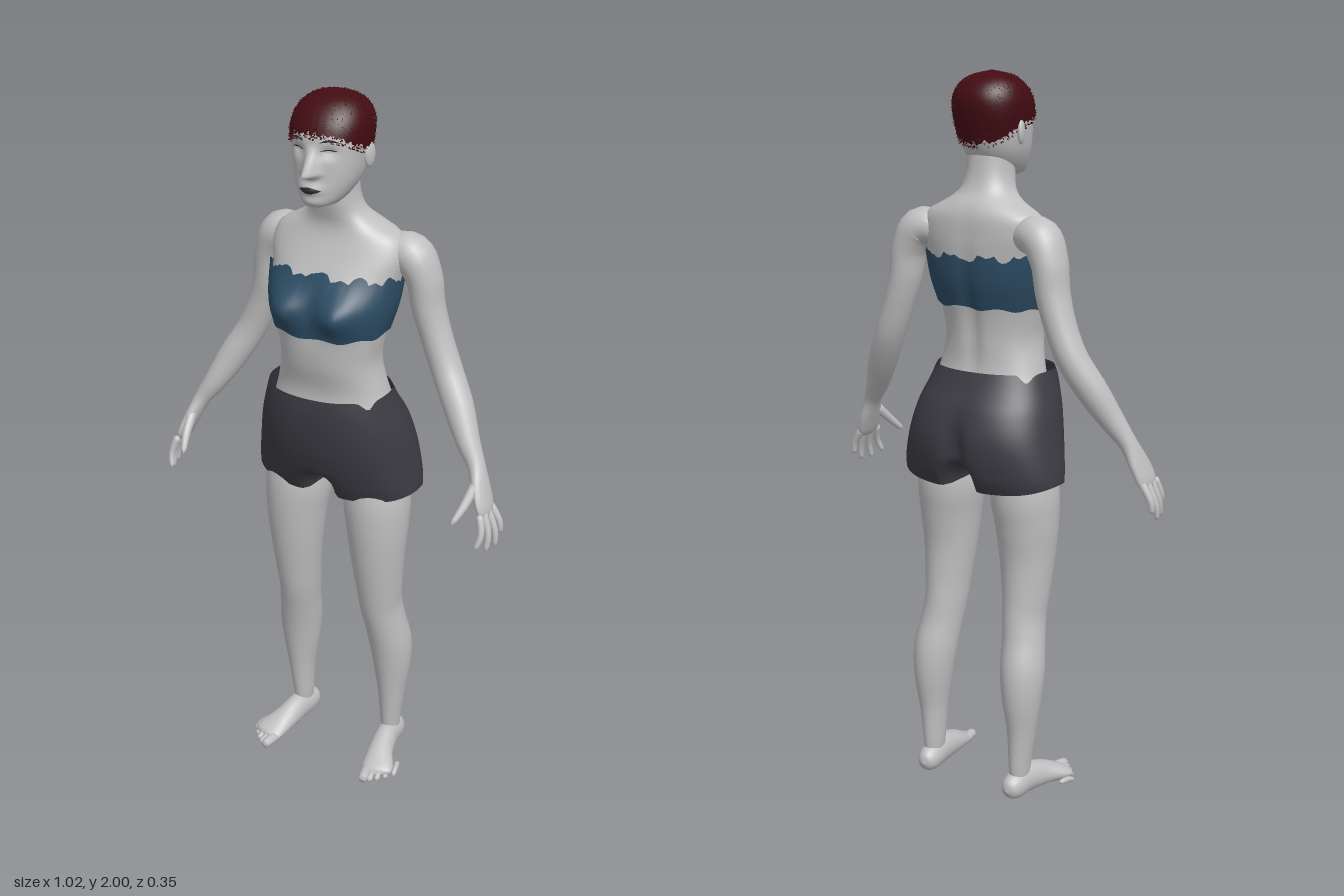
import * as THREE from 'three';
import { mergeGeometries } from 'three/addons/utils/BufferGeometryUtils.js';

const mat = (name, color, side = THREE.FrontSide) => {
  const m = new THREE.MeshStandardMaterial({ color, side });
  m.name = name;
  return m;
};
const bump = t => Math.exp(-t * t);
const power = (t, e) => Math.sign(t) * Math.abs(t) ** e;

// Smooth interpolation of rows [key, ...values]
function sample(rows, k) {
  const n = rows.length;
  let i = 0;
  while (i < n - 2 && k > rows[i + 1][0]) i++;
  const a = rows[i], b = rows[i + 1], p = rows[Math.max(i - 1, 0)], q = rows[Math.min(i + 2, n - 1)];
  const h = b[0] - a[0], t = Math.min(1, Math.max(0, (k - a[0]) / h)), t2 = t * t, t3 = t2 * t;
  return a.slice(1).map((va, j) => {
    const vb = b[j + 1];
    const ma = (vb - p[j + 1]) / (b[0] - p[0]) * h, mb = (q[j + 1] - va) / (q[0] - a[0]) * h;
    return (2 * t3 - 3 * t2 + 1) * va + (t3 - 2 * t2 + t) * ma + (3 * t2 - 2 * t3) * vb + (t3 - t2) * mb;
  });
}

// Grid surface from fn(u, v); closed surfaces wrap in u
function surface(fn, nu, nv, closed = true) {
  const pos = [], idx = [], cols = closed ? nu : nu + 1;
  for (let j = 0; j <= nv; j++) for (let i = 0; i < cols; i++) pos.push(...fn(i / nu, j / nv));
  for (let j = 0; j < nv; j++) for (let i = 0; i < nu; i++) {
    const a = j * cols + i, b = j * cols + (i + 1) % cols, c = a + cols, d = b + cols;
    idx.push(a, b, d, a, d, c);
  }
  const g = new THREE.BufferGeometry();
  g.setAttribute('position', new THREE.Float32BufferAttribute(pos, 3));
  g.setIndex(idx);
  g.computeVertexNormals();
  return g;
}

// Limb along stations [x, y, z, radius, radius along ref]
function limb(stations, side, nu, nv, ref = new THREE.Vector3(0, 0, 1)) {
  const rows = stations.map((s, i) => [i, s[0] * side, ...s.slice(1)]), last = rows.length - 1;
  return surface((u, v) => {
    const s = sample(rows, v * last);
    const a = sample(rows, Math.max(0, v * last - 0.05)), b = sample(rows, Math.min(last, v * last + 0.05));
    const t = new THREE.Vector3(b[0] - a[0], b[1] - a[1], b[2] - a[2]).normalize();
    const d = ref.clone().addScaledVector(t, -ref.dot(t)).normalize();
    const e = t.clone().cross(d);
    const f = Math.sqrt(Math.max(0, 1 - Math.abs(2 * v - 1) ** 14)), th = u * Math.PI * 2;
    return new THREE.Vector3(s[0], s[1], s[2])
      .addScaledVector(d, Math.cos(th) * s[4] * f).addScaledVector(e, Math.sin(th) * s[3] * f).toArray();
  }, nu, nv);
}

// Point on a stack of horizontal sections [y, halfWidth, zFront, zBack]
function stackPoint(rows, th, y, grow = 0) {
  const [w, zf, zb] = sample(rows, y);
  const c = Math.cos(th);
  return [(w + grow) * power(Math.sin(th), 0.9), y, (zf + zb) / 2 + ((zf - zb) / 2 + grow) * power(c, 0.9)];
}

const TORSO = [[1.08, .185, .13, -.13], [1.15, .175, .125, -.11], [1.22, .155, .118, -.085], [1.3, .138, .135, -.082],
  [1.37, .147, .14, -.088], [1.46, .167, .13, -.105], [1.54, .18, .1, -.112], [1.59, .188, .075, -.112],
  [1.635, .17, .056, -.108], [1.665, .115, .052, -.095], [1.69, .08, .058, -.075], [1.73, .064, .068, -.06], [1.8, .06, .07, -.05]];
const HEAD = [[1.722, 0, .1, .05], [1.73, .035, .125, .02], [1.74, .05, .132, 0], [1.765, .068, .134, -.035],
  [1.8, .083, .132, -.06], [1.85, .092, .13, -.077], [1.9, .097, .126, -.088], [1.935, .093, .113, -.086],
  [1.965, .076, .087, -.066], [1.984, .046, .055, -.032], [1.994, 0, .012, .01]];
const SHORTS = [[.9, .243, .095, -.145], [.95, .24, .118, -.168], [1.04, .222, .15, -.18], [1.12, .203, .165, -.158],
  [1.18, .182, .168, -.12], [1.225, .168, .163, -.095]];

function torsoPoint(th, y, grow = 0) {
  const p = stackPoint(TORSO, th, y, grow), c = Math.cos(th);
  if (c > 0) p[2] += .04 * Math.min(1, c * 3) * bump((Math.abs(p[0]) - .08) / .055) * bump((y - 1.455) / .05);
  else p[2] += .012 * bump(p[0] / .022) * bump((y - 1.35) / .2);
  return p;
}

function headPoint(th, y) {
  const p = stackPoint(HEAD, th, y), x = p[0];
  if (Math.cos(th) > 0) {
    const nose = y < 1.815 ? bump((y - 1.815) / .009) : Math.max(0, 1 - (y - 1.815) / .07);
    p[2] += .046 * nose * bump(x / (.012 + .006 * nose));
    p[2] -= .009 * bump((Math.abs(x) - .042) / .02) * bump((y - 1.868) / .015);
    p[2] += .012 * bump(x / .028) * bump((y - 1.776) / .014) + .007 * bump(x / .03) * bump((y - 1.745) / .012);
  }
  return p;
}

// Thin lens-shaped patch lying on the face
function facePatch(x, y, w, h, arch = 0) {
  return surface((u, v) => {
    const px = x + (u - .5) * w, py = y + (v - .5) * h * Math.sin(Math.PI * u) + arch * Math.sin(Math.PI * u);
    const s = Math.min(1, Math.abs(px) / sample(HEAD, py)[0]) ** (1 / .9);
    const p = headPoint(Math.asin(Math.sign(px) * s), py);
    return [px, py, p[2] + .003];
  }, 12, 4, false);
}

function shortsPoint(th, y) {
  const p = stackPoint(SHORTS, th, y), c = Math.cos(th);
  if (c < 0) p[2] += .028 * bump(p[0] / .03) * bump((y - 1.02) / .08);
  const k = 1 - THREE.MathUtils.smoothstep(y, .925, .99);
  p[2] *= 1 - .95 * k * bump(p[0] / .03);
  return p;
}

export function createModel() {
  const model = new THREE.Group();
  model.name = 'standingWoman';
  const D = THREE.DoubleSide;
  const skin = mat('skin', 0xc0c0c0), blue = mat('topBlue', 0x2c4c64, D), charcoal = mat('shortsCharcoal', 0x3d3b43, D);
  const hairRed = mat('hairDarkRed', 0x420c12, D), dark = mat('faceDark', 0x2c2a2c, D), eyeGrey = mat('eyeGrey', 0xd2d2d2, D);
  const add = (name, geometry, material, parent = model) => {
    const m = new THREE.Mesh(geometry, material);
    m.name = name;
    parent.add(m);
    return m;
  };
  let seed = 7;
  const rand = () => (seed = (seed * 16807) % 2147483647) / 2147483647;
  const TAU = Math.PI * 2;

  // Torso with neck, and head
  add('torso', surface((u, v) => torsoPoint(u * TAU, 1.08 + .72 * v), 64, 60), skin);
  add('head', surface((u, v) => headPoint(u * TAU, 1.722 + .272 * (1 - (1 - v) ** 1.4)), 96, 64), skin);

  // Strapless top with ragged edges
  add('bandeauTop', surface((u, v) => {
    const th = u * TAU, c = Math.cos(th);
    const low = 1.388 - .004 * c + .004 * Math.sin(th * 9);
    const high = 1.535 + .008 * c + .006 * Math.sign(Math.sin(th * 11 + 1)) + .004 * Math.sin(th * 23);
    return torsoPoint(th, low + (high - low) * v, .008 + .003 * Math.sin(Math.PI * v));
  }, 96, 20), blue);

  // Shorts with parted legs and a dipped waistband
  add('shorts', surface((u, v) => {
    const th = u * TAU, s = Math.sin(th);
    const low = .905 + .022 * s ** 4 + .028 * bump(s / .1);
    const high = 1.22 - .022 * bump((Math.abs(s) - .85) / .07);
    return shortsPoint(th, low + (high - low) * v);
  }, 96, 32), charcoal);

  // Cropped hair: a cap with an uneven hairline, plus short tufts
  const hairPoint = (th, y, k) => {
    const p = stackPoint(HEAD, th, y);
    return [p[0] * k, 1.88 + (y - 1.88) * k, .02 + (p[2] - .02) * k];
  };
  const hairline = th => 1.866 + .046 * Math.cos(th);
  const edge = Array.from({ length: 96 }, () => rand() * .016 - .008);
  const hair = new THREE.Group();
  hair.name = 'hair';
  model.add(hair);
  add('hairCap', surface((u, v) => {
    const th = u * TAU, low = hairline(th) + edge[Math.round(u * 96) % 96];
    return hairPoint(th, low + (1.994 - low) * (1 - (1 - v) ** 2), 1.045);
  }, 96, 20), hairRed, hair);
  const tufts = [], up = new THREE.Vector3(0, 1, 0);
  for (let i = 0; i < 900; i++) {
    const th = rand() * TAU, low = hairline(th) - .014;
    const p = new THREE.Vector3(...hairPoint(th, low + (1.99 - low) * rand() ** 1.3, 1.035));
    const out = p.clone().sub(new THREE.Vector3(0, 1.88, .02)).normalize();
    const g = new THREE.ConeGeometry(.003, .01, 3);
    g.applyQuaternion(new THREE.Quaternion().setFromUnitVectors(up, out));
    tufts.push(g.translate(p.x, p.y, p.z));
  }
  add('hairTufts', mergeGeometries(tufts), hairRed, hair);

  // Mouth
  add('lips', facePatch(0, 1.776, .062, .016), dark);

  for (const side of [1, -1]) {
    const half = new THREE.Group();
    half.name = side > 0 ? 'leftSide' : 'rightSide';
    model.add(half);

    // Eye, lash line, eyebrow and ear
    add('eye', facePatch(side * .042, 1.868, .036, .013), eyeGrey, half);
    add('lashLine', facePatch(side * .043, 1.872, .042, .004, .003), dark, half);
    add('eyebrow', facePatch(side * .045, 1.892, .05, .006, .007), dark, half);
    const ear = add('ear', new THREE.SphereGeometry(1, 14, 10), skin, half);
    ear.scale.set(.009, .032, .018);
    ear.position.set(side * .096, 1.845, .005);
    ear.rotation.y = side * -.3;

    // Arm running into the palm
    add('arm', limb([[.1, 1.575, -.04, .05, .05], [.185, 1.588, -.048, .055, .06], [.224, 1.53, -.055, .046, .057],
      [.238, 1.45, -.058, .043, .052], [.262, 1.37, -.06, .041, .047], [.297, 1.285, -.055, .041, .045],
      [.345, 1.2, -.03, .041, .042], [.39, 1.12, 0, .032, .034], [.425, 1.065, .018, .023, .028],
      [.447, 1.015, .034, .019, .04], [.465, .97, .047, .016, .045], [.475, .94, .052, .013, .041]], side, 24, 60), skin, half);

    // Fingers from front to back, then the thumb
    const tips = [[.473, .873, .118], [.49, .857, .086], [.501, .858, .05], [.502, .884, .018]];
    tips.forEach(([x, y, z], i) => {
      const bz = .086 - i * .023;
      add('finger', limb([[.468, .965, bz, .011, .011], [(.478 + x) / 2 + .006, (.955 + y) / 2, (bz + z) / 2, .0095, .0095],
        [x, y, z, .007, .007]], side, 10, 14), skin, half);
    });
    add('thumb', limb([[.44, 1.035, .045, .014, .016], [.43, .985, .1, .012, .012], [.414, .945, .142, .007, .007]], side, 10, 14), skin, half);

    // Leg
    add('leg', limb([[.115, 1.05, -.01, .085, .1], [.122, .9, -.008, .094, .104], [.128, .8, -.003, .086, .095],
      [.13, .7, -.003, .075, .083], [.132, .6, -.012, .064, .075], [.133, .53, -.022, .058, .071],
      [.141, .46, -.036, .058, .067], [.15, .38, -.055, .06, .068], [.153, .3, -.062, .053, .062],
      [.153, .2, -.062, .038, .048], [.15, .1, -.065, .029, .041], [.15, .03, -.068, .03, .04]], side, 28, 60), skin, half);

    // Foot turned slightly outward, with five toes
    const across = new THREE.Vector3(1, 0, 0);
    add('foot', limb([[.146, .034, -.13, .022, .02], [.148, .04, -.095, .038, .032], [.153, .046, -.035, .044, .033],
      [.165, .036, .03, .035, .038], [.182, .025, .08, .023, .046], [.194, .017, .115, .014, .044]], side, 22, 30, across), skin, half);
    for (let i = 0; i < 5; i++) {
      const r = i ? .0105 - i * .0006 : .015, x = .168 + i * .0168, z = .153 - i * .008 - i * i * .0022;
      add('toe', limb([[x - .012, .018, z - .055, r, r], [x - .004, .017, z - .022, r, r], [x, r, z, r * .85, r * .85]],
        side, 10, 12, across), skin, half);
    }
  }
  return model;
}
